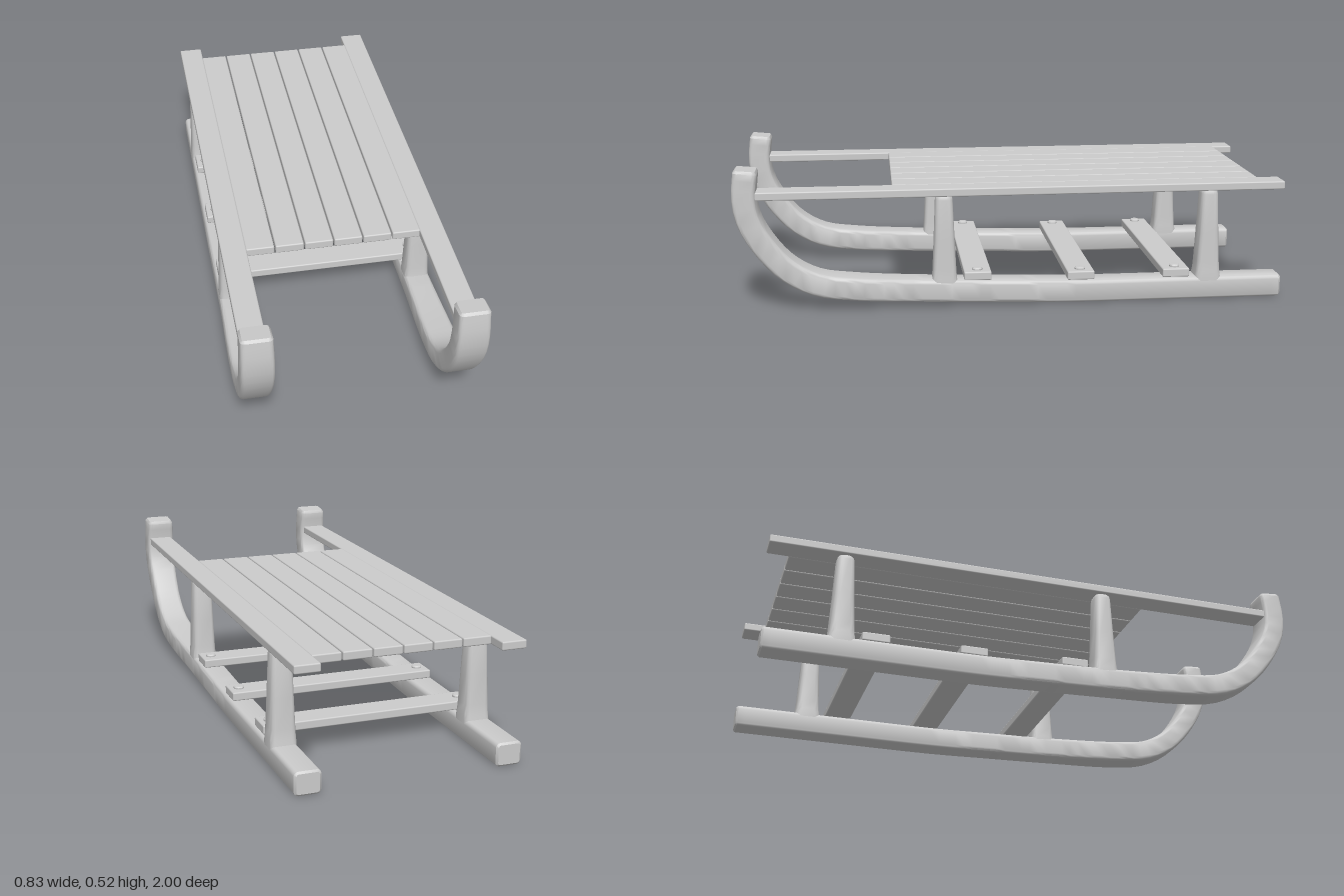
import * as THREE from 'three';
import { toCreasedNormals } from 'three/addons/utils/BufferGeometryUtils.js';
import { RoundedBoxGeometry } from 'three/addons/geometries/RoundedBoxGeometry.js';

const material = new THREE.MeshStandardMaterial({ color: 0xcccccc });
const SIDE_X = 0.358;

// Rounded rectangle, counter-clockwise
function roundedRect(hw, hh, r, steps = 4) {
  const pts = [];
  [[1, 1], [-1, 1], [-1, -1], [1, -1]].forEach(([sx, sy], q) => {
    for (let i = 0; i <= steps; i++) {
      const a = (q + i / steps) * Math.PI / 2;
      pts.push([sx * (hw - r) + Math.cos(a) * r, sy * (hh - r) + Math.sin(a) * r]);
    }
  });
  return pts;
}

// Skin through rounded rectangles along a path in the YZ plane, closed at both ends
function loft(sections) {
  const pos = [], idx = [];
  let n = 0;
  for (const { p, t, hw, hh, r } of sections) {
    const ring = roundedRect(hw, hh, r);
    n = ring.length;
    for (const [u, v] of ring) pos.push(p.x + u, p.y + v * t.z, p.z - v * t.y);
  }
  const last = (sections.length - 1) * n;
  for (let s = 0; s < last; s += n) {
    for (let i = 0; i < n; i++) {
      const j = (i + 1) % n;
      idx.push(s + i, s + j, s + n + j, s + i, s + n + j, s + n + i);
    }
  }
  for (let i = 1; i < n - 1; i++) idx.push(0, i + 1, i, last, last + i, last + i + 1);
  const g = new THREE.BufferGeometry();
  g.setAttribute('position', new THREE.Float32BufferAttribute(pos, 3));
  g.setIndex(idx);
  return toCreasedNormals(g, 0.6);
}

// Linear interpolation through [key, value] stops
function ramp(stops, x) {
  for (let i = 1; i < stops.length; i++) {
    const [a, va] = stops[i - 1], [b, vb] = stops[i];
    if (x <= b) return THREE.MathUtils.lerp(va, vb, THREE.MathUtils.smoothstep(x, a, b));
  }
  return stops[stops.length - 1][1];
}

// Runner: long flat beam curling up at the front
function runnerGeometry() {
  const curve = new THREE.CatmullRomCurve3([
    [-1, 0.043], [-0.6, 0.043], [-0.2, 0.044], [0, 0.05], [0.3, 0.06], [0.58, 0.076],
    [0.715, 0.098], [0.82, 0.158], [0.902, 0.255], [0.945, 0.34], [0.957, 0.42], [0.948, 0.517],
  ].map(([z, y]) => new THREE.Vector3(0, y, z)), false, 'centripetal');
  const widths = [[0, 0.047], [0.55, 0.048], [0.72, 0.055], [0.82, 0.053], [0.94, 0.057], [1, 0.054]];
  const steps = 64, bevel = 0.003;
  const stations = [0, bevel];
  for (let i = 1; i < steps; i++) stations.push(i / steps);
  stations.push(1 - bevel * 1.5, 1);
  return loft(stations.map((s) => {
    const inset = s === 0 || s === 1 ? 0.007 : 0;
    return {
      p: curve.getPointAt(s), t: curve.getTangentAt(s),
      hw: ramp(widths, s) - inset, hh: 0.042 - inset, r: 0.016 - inset,
    };
  }));
}

// Post: tapered upright flaring out where it meets the runner
function postGeometry() {
  const t = new THREE.Vector3(0, 1, 0);
  return loft([
    [0.06, 0.047, 0.05], [0.09, 0.047, 0.047], [0.105, 0.046, 0.044], [0.14, 0.0445, 0.042],
    [0.25, 0.041, 0.037], [0.395, 0.037, 0.031], [0.405, 0.035, 0.029], [0.413, 0.03, 0.024],
  ].map(([y, hw, hh]) => ({ p: new THREE.Vector3(0, y, 0), t, hw, hh, r: 0.02 })));
}

function boltGeometry() {
  const profile = [[0, 0], [0.019, 0], [0.019, 0.006], [0.015, 0.01], [0, 0.011]];
  return toCreasedNormals(new THREE.LatheGeometry(profile.map(([x, y]) => new THREE.Vector2(x, y)), 16), 0.5);
}

export function createModel() {
  const group = new THREE.Group();
  const add = (name, geometry, x, y, z) => {
    const mesh = new THREE.Mesh(geometry, material);
    mesh.name = name;
    mesh.position.set(x, y, z);
    group.add(mesh);
  };
  const board = (w, h, d) => new RoundedBoxGeometry(w, h, d, 2, 0.005);

  // Runners, posts and side rails
  const runner = runnerGeometry(), post = postGeometry(), rail = board(0.09, 0.03, 1.93);
  for (const [side, sx] of [['left', 1], ['right', -1]]) {
    add(side + 'Runner', runner, sx * SIDE_X, 0, 0);
    add(side + 'FrontPost', post, sx * SIDE_X, 0, 0.25);
    add(side + 'BackPost', post, sx * SIDE_X, 0, -0.725);
    add(side + 'Rail', rail, sx * 0.36, 0.425, -0.035);
  }

  // Seat slats
  const slat = board(0.102, 0.031, 1.355);
  for (let i = 0; i < 6; i++) add('seatSlat' + (i + 1), slat, (i - 2.5) * 0.1065, 0.425, -0.2425);

  // Crossbars bolted onto the runners
  const bar = board(0.79, 0.032, 0.1), bolt = boltGeometry();
  [[0.13, 0.11], [-0.25, 0.101], [-0.605, 0.101]].forEach(([z, y], i) => {
    add('crossbar' + (i + 1), bar, 0, y, z);
    for (const sx of [1, -1]) add('bolt', bolt, sx * SIDE_X, y + 0.015, z);
  });

  return group;
}
